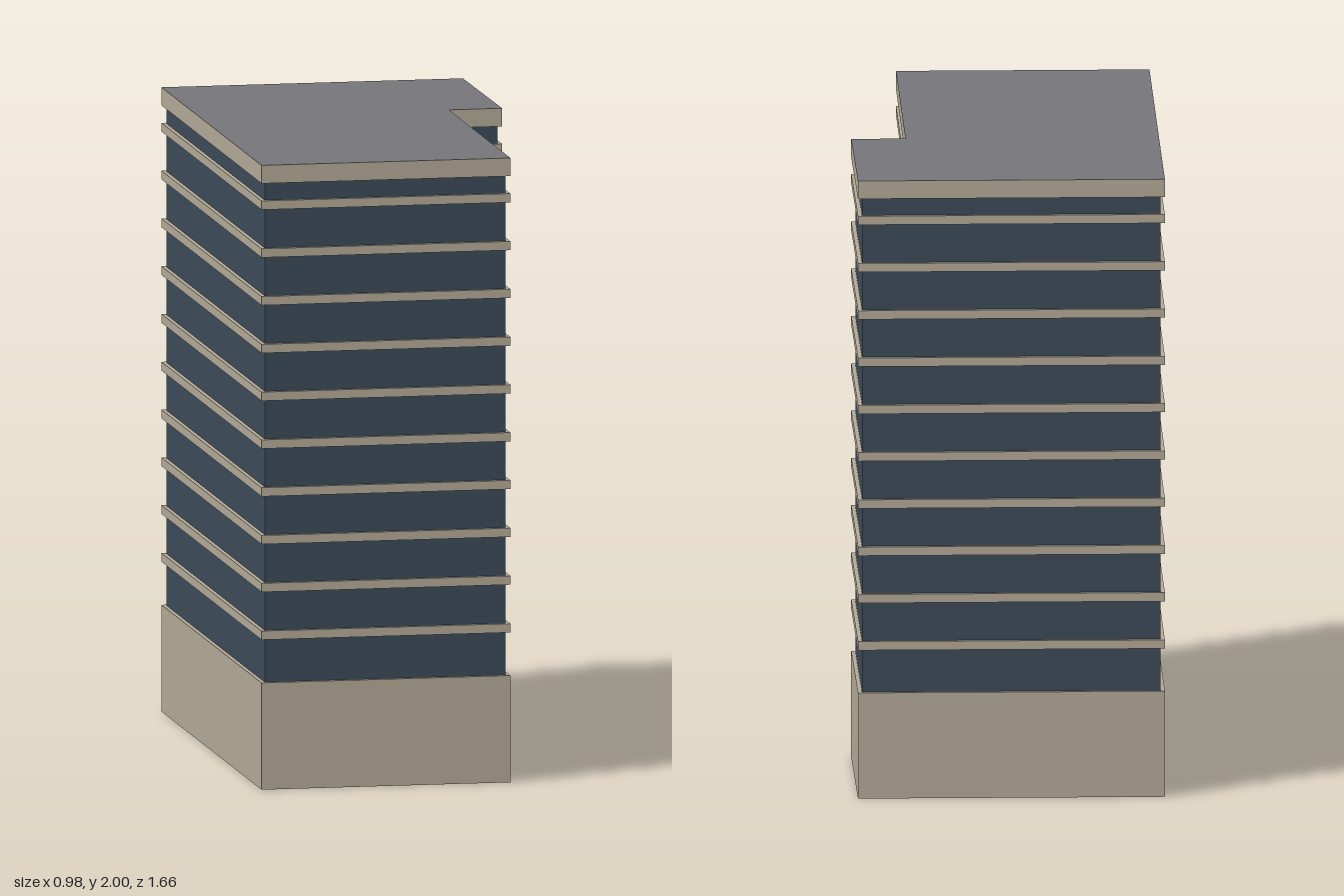
import * as THREE from 'three';

// Footprint corners: x, z, and the direction that moves each corner inward
const FOOTPRINT = [
  [-0.492, 0.822, 1, -1],
  [0.311, 0.827, -1, -1],
  [0.316, -0.19, -1, -1],
  [0.488, -0.19, -1, -1],
  [0.488, -0.823, -1, 1],
  [-0.484, -0.829, 1, 1],
];

// Upright prism over the footprint, from y0 to y1, with walls set back by inset
function prism(name, y0, y1, inset, material) {
  const shape = new THREE.Shape(
    FOOTPRINT.map(([x, z, dx, dz]) => new THREE.Vector2(x + dx * inset, -(z + dz * inset)))
  );
  const geometry = new THREE.ExtrudeGeometry(shape, { depth: y1 - y0, bevelEnabled: false });
  geometry.rotateX(-Math.PI / 2);
  geometry.translate(0, y0, 0);
  const mesh = new THREE.Mesh(geometry, material);
  mesh.name = name;
  return mesh;
}

export function createModel() {
  const stone = new THREE.MeshStandardMaterial({ color: 0xb3aa97 });
  stone.name = 'beige stone';
  const glass = new THREE.MeshStandardMaterial({ color: 0x3c4a58 });
  glass.name = 'dark blue glass';
  const roofing = new THREE.MeshStandardMaterial({ color: 0x75757a });
  roofing.name = 'grey roofing';

  const model = new THREE.Group();
  model.name = 'officeTower';

  // Solid ground storey and the glazed floors above it
  model.add(prism('base', 0, 0.342, 0, stone));
  model.add(prism('glazing', 0.342, 1.942, 0.013, glass));

  // Projecting band at each floor
  const bands = new THREE.Group();
  bands.name = 'floorBands';
  for (let i = 0; i < 10; i++) {
    const y = 0.494 + i * 0.1531;
    bands.add(prism(`floorBand${i + 1}`, y - 0.014, y + 0.014, 0, stone));
  }
  model.add(bands);

  // Roof edge, with a thin roof sheet whose sides match the edge
  model.add(prism('roofEdge', 1.942, 1.998, 0, stone));
  model.add(prism('roof', 1.998, 2, 0, [roofing, stone]));

  return model;
}
